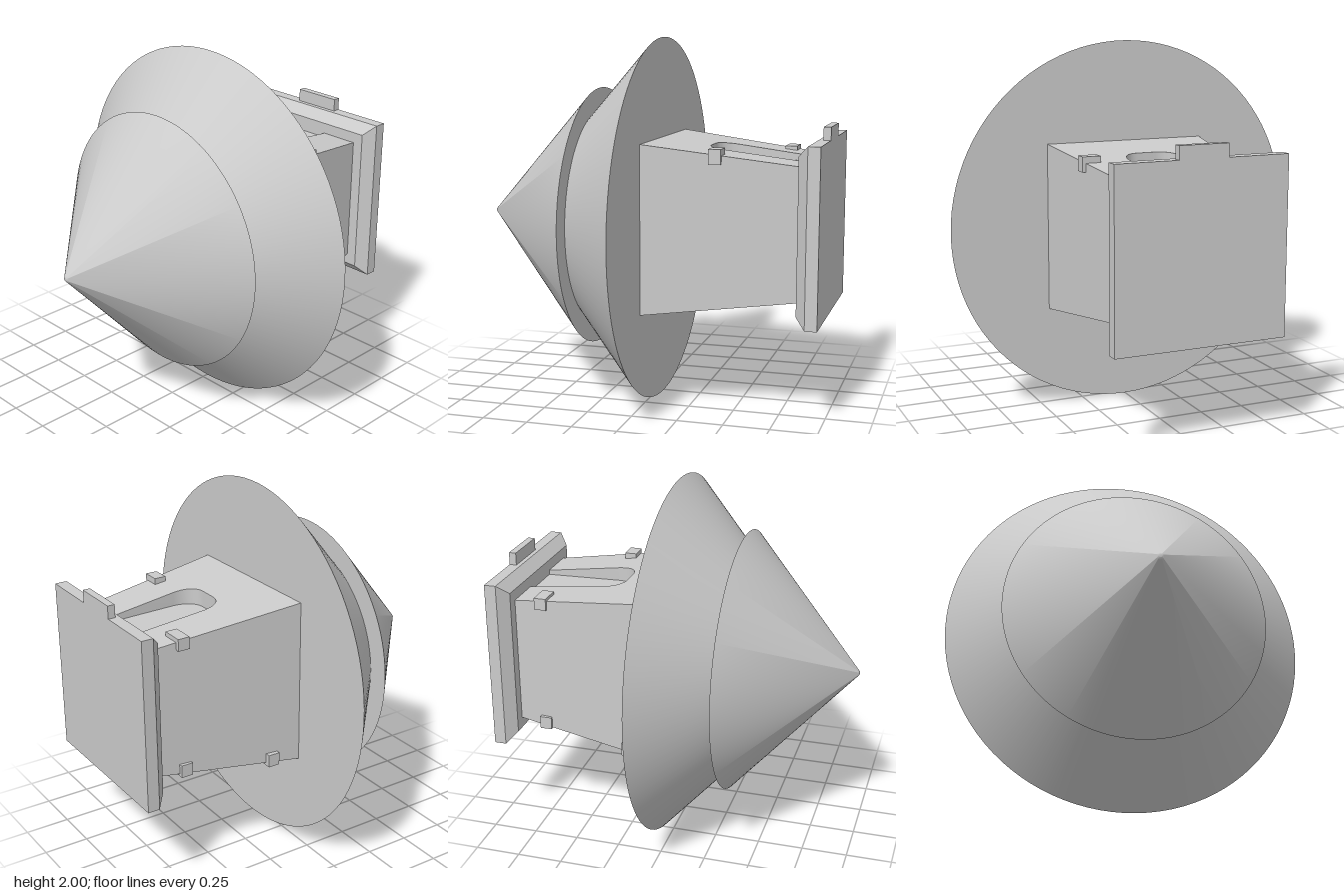
import * as THREE from 'three';
import { toCreasedNormals } from 'three/addons/utils/BufferGeometryUtils.js';

const material = new THREE.MeshStandardMaterial({ color: 0xcccccc, side: THREE.DoubleSide });
const AXIS_Y = 1;
const FRONT_Z = -0.035, BACK_Z = -0.87;

// Half width (and half height) of the tapered body at depth z
const bodyHalf = z => 0.455 + (z - FRONT_Z) * 0.121;

function addMesh(group, geometry, name) {
  const mesh = new THREE.Mesh(geometry, material);
  mesh.name = name;
  group.add(mesh);
  return mesh;
}

function addBox(group, name, x0, x1, y0, y1, z0, z1) {
  const mesh = addMesh(group, new THREE.BoxGeometry(x1 - x0, y1 - y0, z1 - z0), name);
  mesh.position.set((x0 + x1) / 2, (y0 + y1) / 2, (z0 + z1) / 2);
  return mesh;
}

// Raises a plan outline (x, z) between two heights that depend on z
function slab(shape, bottom, top) {
  const geometry = new THREE.ExtrudeGeometry(shape, { depth: 1, bevelEnabled: false, curveSegments: 16 });
  geometry.rotateX(Math.PI / 2);
  const p = geometry.attributes.position;
  for (let i = 0; i < p.count; i++) {
    const z = p.getZ(i);
    p.setY(i, p.getY(i) > -0.5 ? top(z) : bottom(z));
  }
  return toCreasedNormals(geometry, 0.5);
}

export function createModel() {
  const model = new THREE.Group();
  model.name = 'coneLamp';

  // Two stacked cones with a blunt tip, turned around the z axis
  const profile = [
    [0, FRONT_Z], [1, FRONT_Z], [0.6, 0.33], [0.72, 0.33], [0.02, 0.968], [0.01, 0.977], [0, 0.98],
  ].map(([r, h]) => new THREE.Vector2(r, h));
  const cones = new THREE.LatheGeometry(profile, 96);
  cones.rotateX(Math.PI / 2);
  addMesh(model, toCreasedNormals(cones, 0.7), 'doubleCone').position.y = AXIS_Y;

  // Tapered body: solid lower block, and an upper layer cut by a round-ended pocket
  const floorY = 1.33;
  const f = bodyHalf(FRONT_Z), b = bodyHalf(BACK_Z);
  const plan = new THREE.Shape();
  plan.moveTo(-b, BACK_Z).lineTo(b, BACK_Z).lineTo(f, FRONT_Z).lineTo(-f, FRONT_Z).closePath();
  addMesh(model, slab(plan, z => AXIS_Y - bodyHalf(z), () => floorY), 'bodyLower');

  const notched = new THREE.Shape();
  notched.moveTo(-b, BACK_Z);
  notched.lineTo(-0.135, BACK_Z);
  notched.lineTo(-0.155, -0.44);
  notched.bezierCurveTo(-0.155, -0.36, -0.11, -0.318, -0.05, -0.318);
  notched.lineTo(0.05, -0.318);
  notched.bezierCurveTo(0.11, -0.318, 0.155, -0.36, 0.155, -0.44);
  notched.lineTo(0.135, BACK_Z);
  notched.lineTo(b, BACK_Z);
  notched.lineTo(f, FRONT_Z);
  notched.lineTo(-f, FRONT_Z);
  notched.closePath();
  addMesh(model, slab(notched, () => floorY, z => AXIS_Y + bodyHalf(z)), 'bodyUpper');

  // Back plate with a chamfered front edge
  const half = 0.472;
  addBox(model, 'backPlate', -half, half, AXIS_Y - half, AXIS_Y + half, -0.98, -0.915);
  const chamfer = addBox(model, 'plateChamfer', -half, half, AXIS_Y - half, AXIS_Y + half, -0.915, -0.86);
  const p = chamfer.geometry.attributes.position;
  for (let i = 0; i < p.count; i++) {
    if (p.getZ(i) > 0) p.setXY(i, p.getX(i) * 0.88, p.getY(i) * 0.88);
  }
  chamfer.geometry.computeVertexNormals();
  addBox(model, 'plateTab', -0.135, 0.135, AXIS_Y + half - 0.02, 1.542, -0.98, -0.94);

  // Small clips wrapped over the long edges of the body: [x side, y side, z, width, height, x out, y out]
  const clips = [
    [1, 1, -0.425, 0.1, 0.08, 0.013, 0.03],
    [-1, 1, -0.7, 0.125, 0.065, 0.018, 0.02],
    [-1, -1, -0.7, 0.1, 0.07, 0.018, 0.01],
    [-1, -1, -0.2, 0.1, 0.07, 0.025, 0.012],
  ];
  for (const [sx, sy, z, w, h, ox, oy] of clips) {
    const reach = bodyHalf(z);
    const clip = addMesh(model, new THREE.BoxGeometry(w, h, 0.066), 'edgeClip');
    clip.position.set(sx * (reach + ox - w / 2), AXIS_Y + sy * (reach + oy - h / 2), z);
  }
  return model;
}
